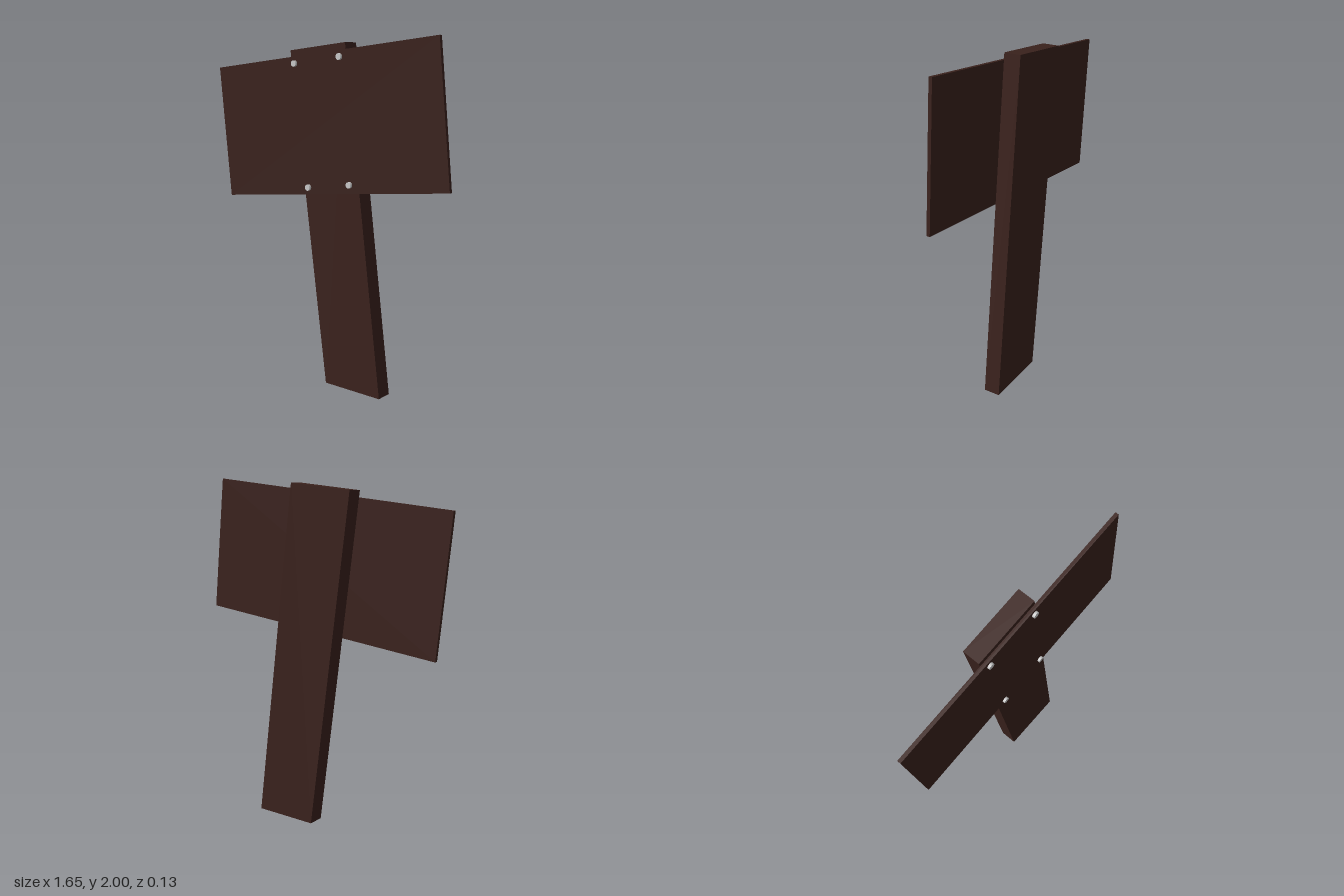
import * as THREE from 'three';

// Extrudes a flat outline between two depths
function plank(name, corners, zBack, zFront, material) {
  const shape = new THREE.Shape(corners.map(([x, y]) => new THREE.Vector2(x, y)));
  const geometry = new THREE.ExtrudeGeometry(shape, { depth: zFront - zBack, bevelEnabled: false });
  geometry.translate(0, 0, zBack);
  const mesh = new THREE.Mesh(geometry, material);
  mesh.name = name;
  return mesh;
}

export function createModel() {
  const model = new THREE.Group();
  model.name = 'woodenSign';
  const wood = new THREE.MeshStandardMaterial({ color: 0x3b221d });
  const metal = new THREE.MeshStandardMaterial({ color: 0xcccccc });

  // Leaning post, cut level at the ground
  model.add(plank('post', [[0, 0], [0.387, 0], [0.135, 1.975], [-0.26, 1.935]], -0.065, 0.032, wood));

  // Tilted sign board
  model.add(plank('board', [[-0.745, 1.055], [0.824, 1.22], [0.742, 2], [-0.824, 1.836]], 0.032, 0.052, wood));

  // Nail heads, two along the top edge and two along the bottom
  const nailGeometry = new THREE.CylinderGeometry(0.018, 0.018, 0.016, 16).rotateX(Math.PI / 2);
  const nails = new THREE.Group();
  nails.name = 'nails';
  for (const [x, y] of [[-0.21, 1.861], [0.114, 1.898], [-0.109, 1.162], [0.187, 1.203]]) {
    const nail = new THREE.Mesh(nailGeometry, metal);
    nail.name = 'nailHead';
    nail.position.set(x, y, 0.058);
    nails.add(nail);
  }
  model.add(nails);
  return model;
}
